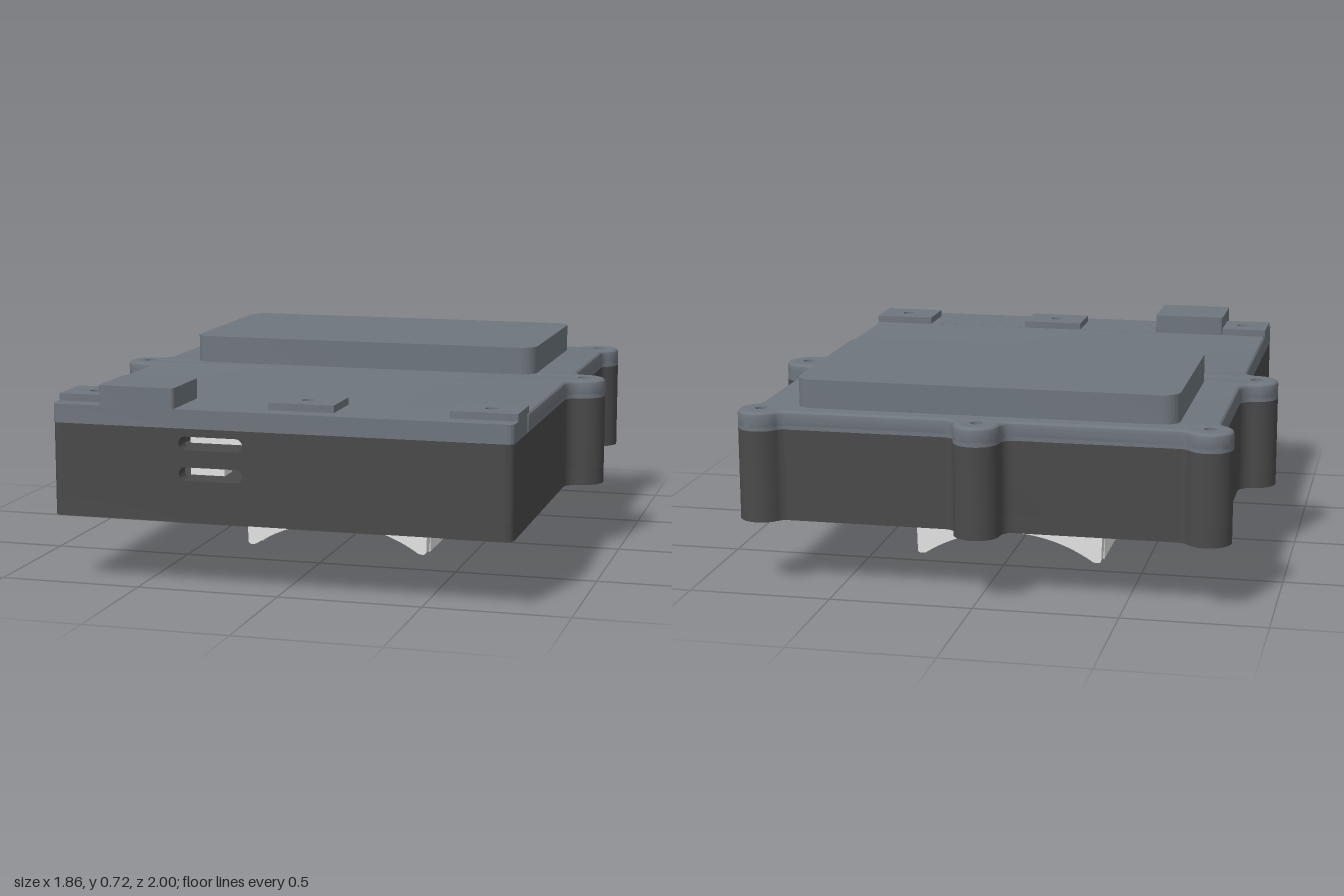
import * as THREE from 'three';
import { toCreasedNormals } from 'three/addons/utils/BufferGeometryUtils.js';

const mat = (name, color) => Object.assign(new THREE.MeshStandardMaterial({ color }), { name });
const LUGS = [[0.775, -0.85], [-0.775, -0.85], [0, -0.92], [0.848, -0.06], [-0.848, -0.06]];
const FEET = [[0.635, -0.66], [-0.635, -0.66], [0.635, 0.74], [-0.635, 0.74]];

// Right half of the case outline as (x, -z), from the front edge to the back centre lug
function halfOutline(front, corner) {
  const p = [];
  const arc = (cx, cy, r, a0, a1, n) => {
    for (let i = 0; i <= n; i++) {
      const a = a0 + (a1 - a0) * i / n;
      p.push(new THREE.Vector2(cx + r * Math.cos(a), cy + r * Math.sin(a)));
    }
  };
  const R = 0.08, W = 0.802, PI = Math.PI;
  const reach = (f, d) => Math.sqrt((R + f) ** 2 - (f - d) ** 2);
  arc(W - corner, -front + corner, corner, -PI / 2, 0, 5);
  // side lug
  let f = 0.05, d = 0.848 - W, t = reach(f, d), a = Math.atan2(t, d - f), b = Math.atan2(t, f - d);
  arc(W + f, 0.06 - t, f, PI, a, 6);
  arc(0.848, 0.06, R, -b, b, 16);
  arc(W + f, 0.06 + t, f, -a, -PI, 6);
  // corner lug
  f = 0.04; d = 0.775 - W; t = reach(f, d);
  const t2 = reach(f, -0.03), c = Math.atan2(f + 0.03, -t2);
  arc(W + f, 0.85 - t, f, PI, Math.atan2(t, d - f), 5);
  arc(0.775, 0.85, R, -Math.atan2(t, f - d), c, 20);
  arc(0.775 - t2, 0.88 + f, f, c - PI, -PI / 2, 5);
  // back centre lug
  arc(R + f, 0.92, f, -PI / 2, -PI, 6);
  arc(0, 0.92, R, 0, PI / 2, 9);
  return p;
}

function outline(front, corner) {
  const half = halfOutline(front, corner);
  const mirrored = half.slice(0, -1).reverse().map(v => new THREE.Vector2(-v.x, v.y));
  return [...half, ...mirrored];
}

function roundedRect(x0, x1, y0, y1, r) {
  const s = new THREE.Shape();
  s.absarc(x1 - r, y0 + r, r, -Math.PI / 2, 0);
  s.absarc(x1 - r, y1 - r, r, 0, Math.PI / 2);
  s.absarc(x0 + r, y1 - r, r, Math.PI / 2, Math.PI);
  s.absarc(x0 + r, y0 + r, r, Math.PI, Math.PI * 1.5);
  s.closePath();
  return s;
}

const hole = (x, z, r) => new THREE.Path().absarc(x, -z, r, 0, Math.PI * 2, true);

export function createModel() {
  const lidGrey = mat('lid slate grey', 0x6f767e);
  const caseGrey = mat('case dark grey', 0x4a4a4a);
  const light = mat('holder light grey', 0xe4e4e4);
  const plateGrey = mat('plate grey', 0xb8b8b8);
  const railGrey = mat('plate edge grey', 0x908c90);
  const black = mat('hole black', 0x1c1c1c);
  const model = new THREE.Group();
  model.name = 'mountedEnclosure';

  const add = (name, geo, material, x = 0, y = 0, z = 0) => {
    const m = new THREE.Mesh(geo, material);
    m.name = name;
    m.position.set(x, y, z);
    model.add(m);
  };
  const extrude = (shape, depth, extra = {}) => new THREE.ExtrudeGeometry(shape,
    { depth, bevelEnabled: false, curveSegments: 12, ...extra });
  // Extrude a plan shape (x, -z) upwards from y0 to y1
  const slab = (name, shape, y0, y1, material, bevel = 0) => {
    const opts = bevel ? { bevelEnabled: true, bevelSize: bevel, bevelThickness: bevel, bevelOffset: -bevel, bevelSegments: 3 } : {};
    const g = extrude(shape, y1 - y0 - 2 * bevel, opts).rotateX(-Math.PI / 2);
    add(name, toCreasedNormals(g, 0.35), material, 0, y0 + bevel, 0);
  };
  const box = (name, x0, x1, y0, y1, z0, z1, material) => add(name,
    new THREE.BoxGeometry(x1 - x0, y1 - y0, z1 - z0), material, (x0 + x1) / 2, (y0 + y1) / 2, (z0 + z1) / 2);

  // Case floor with lug bores, foot recesses and hexagonal nut hole
  const floor = new THREE.Shape(outline(1, 0.03));
  LUGS.forEach(([x, z]) => floor.holes.push(hole(x, z, 0.05)));
  FEET.forEach(([x, z]) => floor.holes.push(hole(x, z, 0.125)));
  const hex = [];
  for (let i = 0; i < 6; i++) hex.push(new THREE.Vector2(0.065 + 0.046 * Math.cos(i * Math.PI / 3), -0.845 + 0.046 * Math.sin(i * Math.PI / 3)));
  floor.holes.push(new THREE.Path(hex));
  slab('caseFloor', floor, 0.238, 0.3, caseGrey);
  FEET.forEach(([x, z]) => {
    add('footRecess', new THREE.CylinderGeometry(0.13, 0.13, 0.02, 32), caseGrey, x, 0.295, z);
    add('footScrewHole', new THREE.CylinderGeometry(0.018, 0.018, 0.004, 16), black, x, 0.284, z);
  });

  // Case side and back walls
  const inner = [[-0.77, -0.94], [-0.72, -0.94], [-0.72, 0.77], [0.72, 0.77], [0.72, -0.94], [0.77, -0.94]];
  const walls = new THREE.Shape([...outline(1, 0.03), ...inner.map(([x, y]) => new THREE.Vector2(x, y))]);
  LUGS.forEach(([x, z]) => walls.holes.push(hole(x, z, 0.05)));
  slab('caseWalls', walls, 0.3, 0.56, caseGrey);

  // Front wall with two port slots and the connectors behind them
  const frontWall = roundedRect(-0.772, 0.772, 0.3, 0.56, 0.0001);
  [0.382, 0.487].forEach(y => frontWall.holes.push(roundedRect(-0.345, -0.12, y, y + 0.046, 0.0229)));
  add('frontWall', toCreasedNormals(extrude(frontWall, 0.06), 0.35), caseGrey, 0, 0, 0.94);
  box('upperConnector', -0.33, -0.14, 0.498, 0.522, 0.84, 0.92, light);
  box('lowerConnector', -0.33, -0.21, 0.388, 0.422, 0.84, 0.92, light);

  // Lid with rounded upper edge, over a straight skirt
  const lid = new THREE.Shape(outline(0.755, 0.003));
  LUGS.forEach(([x, z]) => lid.holes.push(hole(x, z, 0.021)));
  slab('lid', lid, 0.56, 0.625, lidGrey, 0.014);
  slab('lidSkirt', lid, 0.56, 0.605, lidGrey);
  LUGS.forEach(([x, z]) => {
    const collar = new THREE.Shape().absarc(x, -z, 0.036, 0, Math.PI * 2);
    collar.holes.push(hole(x, z, 0.021));
    slab('screwCollar', collar, 0.6, 0.625, lidGrey);
  });
  slab('raisedPanel', roundedRect(-0.665, 0.662, 0.07, 0.82, 0.06), 0.62, 0.725, lidGrey);

  // Front cover strip, screw pads and raised block
  const strip = roundedRect(-0.802, 0.802, -1, -0.755, 0.025);
  const pads = [[-0.802, -0.63, -0.7], [-0.05, 0.18, 0.065], [0.575, 0.802, 0.695]];
  pads.forEach(([x0, x1, hx]) => {
    strip.holes.push(hole(hx, 0.845, 0.022));
    const pad = roundedRect(x0, x1, -0.933, -0.755, 0.002);
    pad.holes.push(hole(hx, 0.845, 0.022));
    slab('screwPad', pad, 0.625, 0.65, lidGrey);
  });
  slab('coverStrip', strip, 0.56, 0.625, lidGrey);
  slab('raisedBlock', roundedRect(-0.63, -0.36, -1, -0.755, 0.012), 0.62, 0.695, lidGrey);

  // Holder end walls: arched below, with two notches from the top
  const end = new THREE.Shape();
  end.moveTo(-0.347, 0.24);
  end.lineTo(-0.34, 0.012);
  end.quadraticCurveTo(-0.337, -0.004, -0.31, 0.004);
  const cy = -0.46, R = Math.hypot(0.31, 0.004 - cy), a = Math.atan2(0.004 - cy, 0.31);
  end.absarc(0, cy, R, Math.PI - a, a, true);
  end.quadraticCurveTo(0.337, -0.004, 0.34, 0.012);
  end.lineTo(0.347, 0.24);
  [0.22, -0.22].forEach(x => {
    end.lineTo(x + 0.02, 0.24);
    end.absarc(x, 0.13, 0.02, 0, Math.PI, true);
    end.lineTo(x - 0.02, 0.24);
  });
  end.closePath();
  [-0.41, 0.23].forEach(z => add('holderEndWall', toCreasedNormals(extrude(end, 0.05), 0.5), light, 0, 0, z));

  // Holder side walls with a strap opening
  const side = new THREE.Shape([[-0.23, 0.24], [-0.23, 0.004], [0.36, 0.004], [0.36, 0.24], [0.25, 0.24],
    [0.25, 0.078], [-0.13, 0.078], [-0.13, 0.24]].map(([u, v]) => new THREE.Vector2(u, v)));
  [-0.343, 0.298].forEach(x => add('holderSideWall', extrude(side, 0.045).rotateY(Math.PI / 2), light, x));

  // Inner plate with a centre bore, edge rails and pivot post
  const plate = roundedRect(-0.294, 0.294, -0.23, 0.36, 0.0001);
  plate.holes.push(hole(0, -0.065, 0.062));
  slab('holderPlate', plate, 0.165, 0.205, [plateGrey, light]);
  [-0.296, 0.296].forEach(x => box('plateEdge', x - 0.002, x + 0.002, 0.165, 0.205, -0.36, 0.23, railGrey));
  add('pivotPost', new THREE.CylinderGeometry(0.09, 0.1, 0.035, 32), light, 0, 0.2225, -0.065);
  return model;
}
